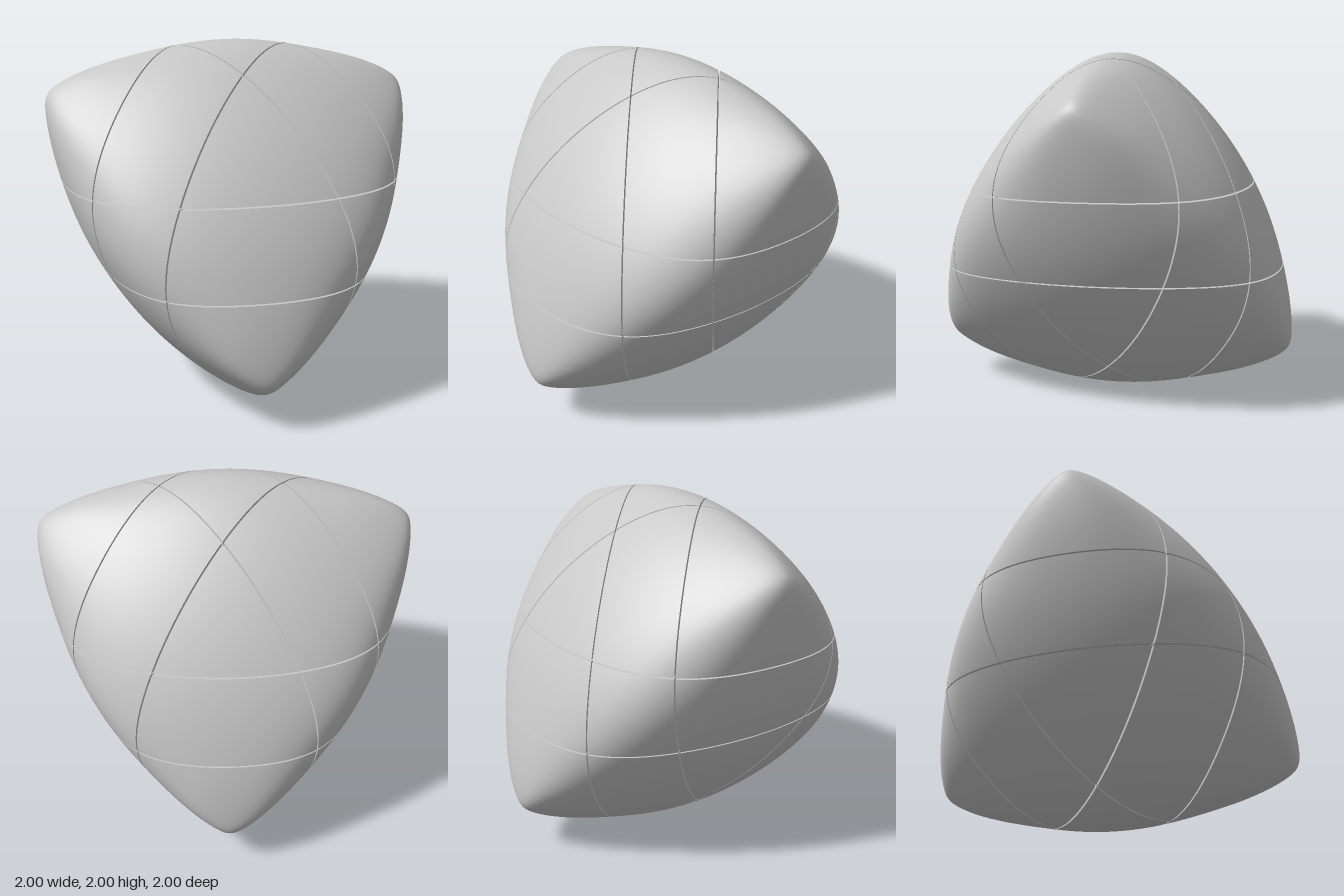
import * as THREE from 'three';

// Body: four large spherical faces, softly blended along edges and corners
const C = 0.8, R = 2.2;
const FACES = [[1, 1, 1], [1, -1, -1], [-1, 1, -1], [-1, -1, 1]];

function field(p) {
  const len = p.length() || 1;
  const cornerness = Math.max(0, (-5.196 * p.x * p.y * p.z) / len ** 3);
  const k = 0.1065 - 0.079 * cornerness ** 3; // edges are softer than corners
  let sum = 0;
  for (const [a, b, c] of FACES) {
    const d = Math.hypot(p.x + C * a, p.y + C * b, p.z + C * c) - R;
    sum += Math.exp(d / k);
  }
  return k * Math.log(sum);
}

function fieldNormal(p) {
  const e = 0.001, n = [];
  for (const axis of ['x', 'y', 'z']) {
    const a = p.clone(), b = p.clone();
    a[axis] += e;
    b[axis] -= e;
    n.push(field(a) - field(b));
  }
  return new THREE.Vector3(...n).normalize();
}

// Distance from a point inside the body to its skin
function reach(from, dir) {
  const p = new THREE.Vector3();
  let lo = 0, hi = 2;
  for (let i = 0; i < 26; i++) {
    const mid = (lo + hi) / 2;
    p.copy(from).addScaledVector(dir, mid);
    if (field(p) < 0) lo = mid; else hi = mid;
  }
  return lo;
}

// Cut planes on each axis, and half the gap between pieces
const CUTS = [[-0.243, 0.238], [-0.245, 0.236], [-0.274, 0.209]];
const GAP = 0.004;

// A box whose outward sides are pushed out to the skin; cut walls stay flat
function pieceGeometry(cell) {
  const n = cell.some(s => s !== 0) ? 18 : 1;
  const geo = new THREE.BoxGeometry(1, 1, 1, n, n, n);
  const pos = geo.attributes.position, nor = geo.attributes.normal;
  for (let i = 0; i < pos.count; i++) {
    const anchor = [], dir = [];
    let m = 0;
    cell.forEach((side, a) => {
      const u = pos.getComponent(i, a) + 0.5;
      const [lo, hi] = CUTS[a];
      if (side === 0) {
        anchor.push(lo + GAP + u * (hi - lo - 2 * GAP));
        dir.push(0);
      } else {
        const s = side > 0 ? u : 1 - u;
        anchor.push(side > 0 ? hi + GAP : lo - GAP);
        dir.push(s * side);
        m = Math.max(m, s);
      }
    });
    const p = new THREE.Vector3(...anchor);
    if (m > 1e-6) {
      const d = new THREE.Vector3(...dir).normalize();
      p.addScaledVector(d, reach(p, d) * m);
    }
    const outer = cell.some((side, a) => side !== 0 && nor.getComponent(i, a) * side > 0.5);
    if (outer) nor.setXYZ(i, ...fieldNormal(p).toArray());
    pos.setXYZ(i, p.x, p.y, p.z);
  }
  return geo;
}

export function createModel() {
  const grey = new THREE.MeshStandardMaterial({ color: 0xc8c8c8 });
  grey.name = 'light grey';
  const model = new THREE.Group();
  model.name = 'rounded tetrahedron puzzle';
  const kinds = ['core', 'centrePiece', 'edgePiece', 'cornerPiece'];
  const sides = [-1, 0, 1];
  for (const x of sides) for (const y of sides) for (const z of sides) {
    const piece = new THREE.Mesh(pieceGeometry([x, y, z]), grey);
    piece.name = kinds[Math.abs(x) + Math.abs(y) + Math.abs(z)];
    piece.position.y = 1;
    model.add(piece);
  }
  return model;
}
